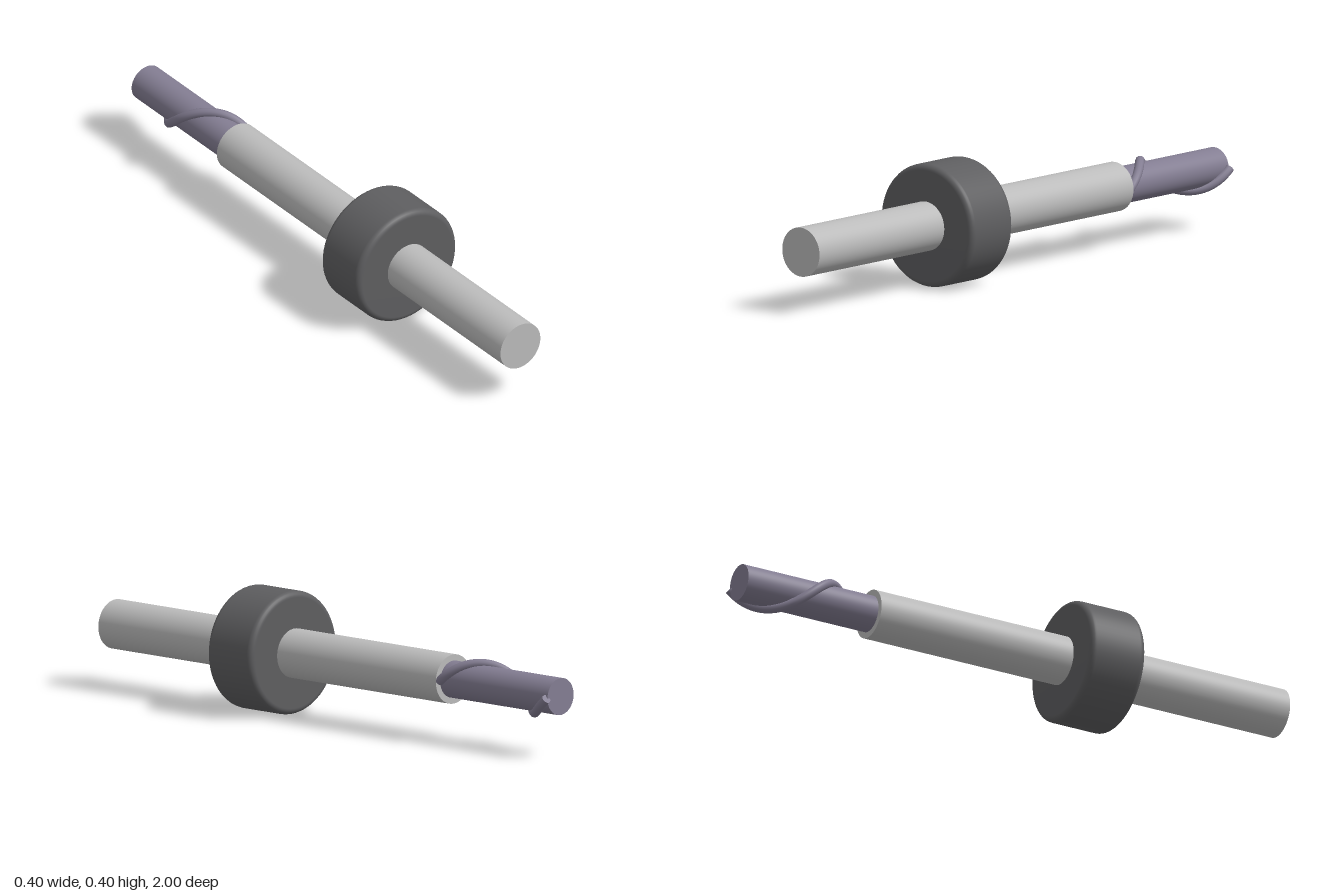
import * as THREE from 'three';

const AXIS_Y = 0.2;
const shaftGrey = new THREE.MeshStandardMaterial({ name: 'shaftGrey', color: 0xbbbbbb });
const collarGrey = new THREE.MeshStandardMaterial({ name: 'collarGrey', color: 0x5e5e60 });
const bitViolet = new THREE.MeshStandardMaterial({ name: 'bitViolet', color: 0x837d92 });

export function createModel() {
  const model = new THREE.Group();
  model.name = 'drillBit';

  const add = (name, geometry, material) => {
    const mesh = new THREE.Mesh(geometry, material);
    mesh.name = name;
    model.add(mesh);
    return mesh;
  };

  // Cylinder along z between two depths
  const rod = (name, radius, z0, z1, material) => {
    const geometry = new THREE.CylinderGeometry(radius, radius, z1 - z0, 64);
    geometry.rotateX(Math.PI / 2).translate(0, AXIS_Y, (z0 + z1) / 2);
    return add(name, geometry, material);
  };

  rod('shaft', 0.08, -0.51, 1, shaftGrey);
  rod('bitCore', 0.06, -0.99, -0.51, bitViolet);

  // Depth collar: lathed disc with rounded rims
  const R = 0.2, H = 0.1, B = 0.02, profile = [new THREE.Vector2(0, -H)];
  for (const [side, start] of [[-1, -Math.PI / 2], [1, 0]]) {
    for (let i = 0; i <= 6; i++) {
      const a = start + (i / 6) * (Math.PI / 2);
      profile.push(new THREE.Vector2(R - B + B * Math.cos(a), side * (H - B) + B * Math.sin(a)));
    }
  }
  profile.push(new THREE.Vector2(0, H));
  const collar = new THREE.LatheGeometry(profile, 64);
  collar.rotateX(Math.PI / 2).translate(0, AXIS_Y, 0.3);
  add('depthCollar', collar, collarGrey);

  // Spiral flute: one full turn around the bit
  const points = [];
  for (let i = 0; i <= 48; i++) {
    const t = i / 48, a = t * Math.PI * 2;
    points.push(new THREE.Vector3(0.065 * Math.cos(a), AXIS_Y + 0.065 * Math.sin(a), -0.51 - 0.48 * t));
  }
  const helix = new THREE.CatmullRomCurve3(points);
  add('spiralFlute', new THREE.TubeGeometry(helix, 96, 0.015, 12, false), bitViolet);

  // Cap on the tip end of the flute
  const cap = add('fluteEnd', new THREE.CircleGeometry(0.015, 12), bitViolet);
  cap.position.copy(helix.getPointAt(1));
  cap.quaternion.setFromUnitVectors(new THREE.Vector3(0, 0, 1), helix.getTangentAt(1));

  return model;
}
